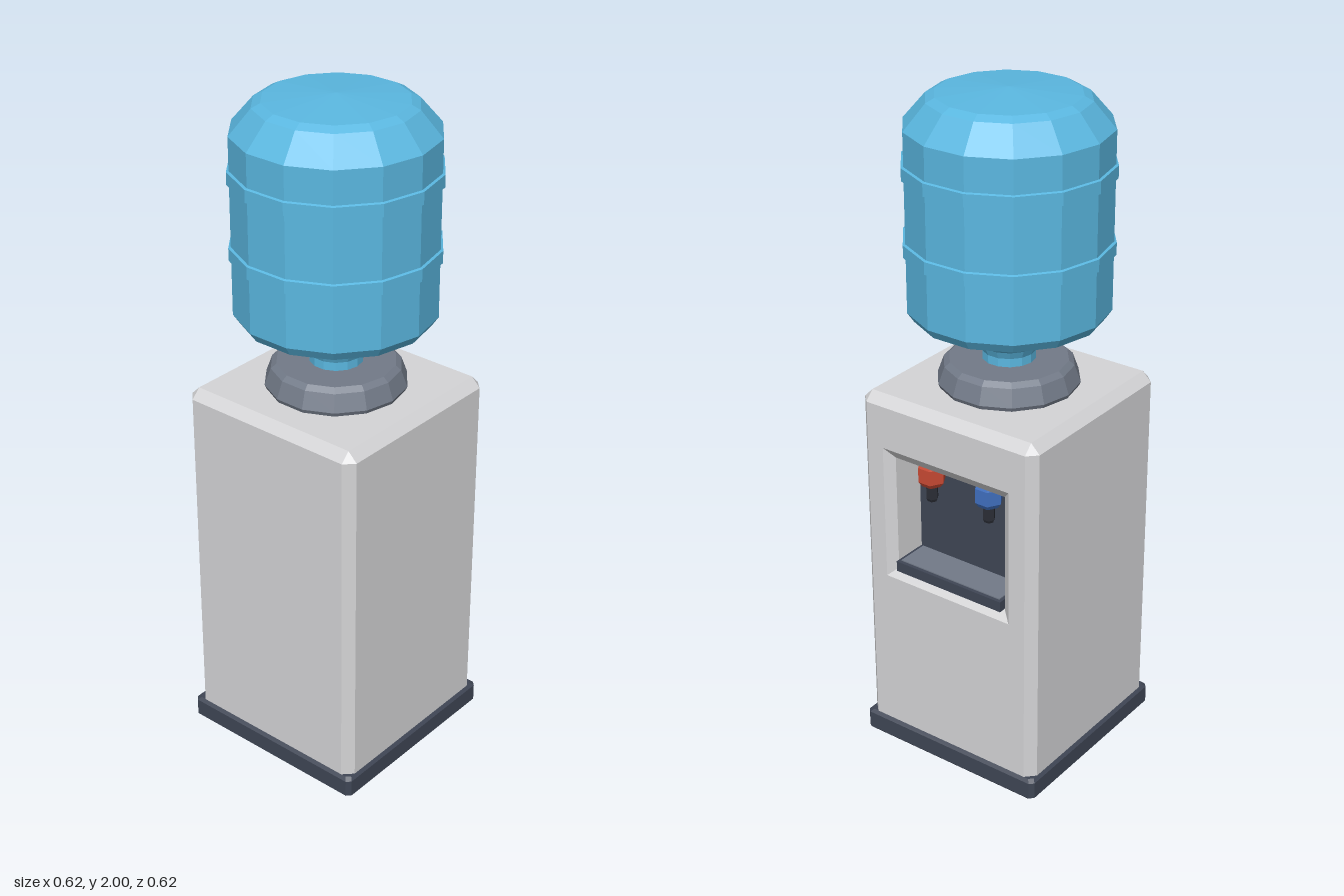
import * as THREE from 'three';

const mat = (name, color) => {
  const m = new THREE.MeshStandardMaterial({ color });
  m.name = name;
  return m;
};

// Faceted geometry: every triangle gets its own normal
function facet(geo) {
  const g = geo.index ? geo.toNonIndexed() : geo;
  g.computeVertexNormals();
  return g;
}

// Skin a series of equal-length rings; skip(i, j) leaves out side j of band i
function loft(rings, { capStart = false, capEnd = false, skip = () => false } = {}) {
  const pos = [];
  const tri = (...pts) => pts.forEach((p) => pos.push(...p));
  const cap = (r) => {
    for (let k = 1; k < r.length - 1; k++) tri(r[0], r[k], r[k + 1]);
  };
  for (let i = 0; i < rings.length - 1; i++) {
    const a = rings[i], b = rings[i + 1], n = a.length;
    for (let j = 0; j < n; j++) {
      if (skip(i, j)) continue;
      const k = (j + 1) % n;
      tri(a[j], a[k], b[k]);
      tri(a[j], b[k], b[j]);
    }
  }
  if (capStart) cap([...rings[0]].reverse());
  if (capEnd) cap(rings[rings.length - 1]);
  const g = new THREE.BufferGeometry();
  g.setAttribute('position', new THREE.Float32BufferAttribute(pos, 3));
  return facet(g);
}

// Horizontal square ring with cut corners; side 0 faces +x
function squareRing(h, c, y) {
  const s = h - c;
  return [[h, s], [h, -s], [s, -h], [-s, -h], [-h, -s], [-h, s], [-s, h], [s, h]]
    .map(([x, z]) => [x, y, z]);
}

// Upright rectangle facing +x
const rectRing = (x, hz, y0, y1) => [[x, y0, hz], [x, y0, -hz], [x, y1, -hz], [x, y1, hz]];

const lathe = (pts, sides) =>
  facet(new THREE.LatheGeometry(pts.map(([r, y]) => new THREE.Vector2(r, y)), sides));

export function createModel() {
  const casing = mat('casing grey', 0xd4d4d6);
  const dark = mat('dark slate', 0x3f4655);
  const slate = mat('collar grey', 0x727a88);
  const water = mat('bottle blue', 0x5ab7e0);
  const hot = mat('hot red', 0xc94a34);
  const cold = mat('cold blue', 0x4070c0);
  const black = mat('nozzle black', 0x2b2e36);

  const model = new THREE.Group();
  model.name = 'waterDispenser';
  const add = (name, geo, material, parent = model) => {
    const m = new THREE.Mesh(geo, material);
    m.name = name;
    parent.add(m);
    return m;
  };

  // Plinth
  add('base', loft([
    squareRing(0.3, 0.012, 0), squareRing(0.309, 0.012, 0.01),
    squareRing(0.309, 0.012, 0.062), squareRing(0.3, 0.012, 0.071),
  ], { capStart: true, capEnd: true }), dark);

  // Cabinet with chamfered edges, its +x side left open for the niche panel
  const C = 0.028, Y0 = 0.065, Y1 = 1.122;
  add('cabinet', loft([
    squareRing(0.3, C, Y0), squareRing(0.3, C, Y1), squareRing(0.3 - C, 0, 1.15),
  ], { capEnd: true, skip: (i, j) => i === 0 && j === 0 }), casing);

  // Niche: front panel, bevelled frame and inner walls
  const back = rectRing(0.18, 0.184, 0.602, 0.945);
  add('nichePanel', loft([
    rectRing(0.3, 0.3 - C, Y0, Y1),
    rectRing(0.3, 0.218, 0.575, 0.993),
    rectRing(0.278, 0.19, 0.6, 0.962),
    back,
  ]), casing);
  add('nicheBack', loft([back], { capEnd: true }), dark);

  // Drip tray with a lighter grille plate
  add('dripTray', new THREE.BoxGeometry(0.115, 0.032, 0.37), dark).position.set(0.237, 0.615, 0);
  add('trayPlate', new THREE.BoxGeometry(0.1, 0.006, 0.35), slate).position.set(0.234, 0.631, 0);

  // Taps hanging from the niche ceiling
  for (const [name, z, colour] of [['hotTap', 0.1, hot], ['coldTap', -0.1, cold]]) {
    const tap = new THREE.Group();
    tap.name = name;
    tap.position.set(0.23, 0, z);
    add('tapBody', lathe([[0, 0.885], [0.03, 0.885], [0.041, 0.9], [0.041, 0.945], [0.036, 0.954], [0, 0.954]], 6), colour, tap);
    add('tapNozzle', lathe([[0, 0.833], [0.014, 0.833], [0.018, 0.842], [0.018, 0.89]], 6), black, tap);
    model.add(tap);
  }

  // Collar holding the bottle
  add('collar', lathe([
    [0.198, 1.148], [0.204, 1.162], [0.186, 1.212], [0.17, 1.225], [0, 1.225],
  ], 14), slate);

  // Upturned bottle
  add('bottle', lathe([
    [0.076, 1.215], [0.076, 1.25], [0.086, 1.272], [0.1, 1.282], [0.268, 1.36], [0.287, 1.388],
    [0.287, 1.9], [0.225, 1.972], [0.2, 1.985], [0, 2],
  ], 14), water);

  // Raised ribs around the bottle
  for (const y of [1.568, 1.785]) {
    add('bottleRib', lathe([
      [0.283, y - 0.022], [0.294, y - 0.018], [0.294, y + 0.018], [0.283, y + 0.022],
    ], 14), water);
  }
  return model;
}
